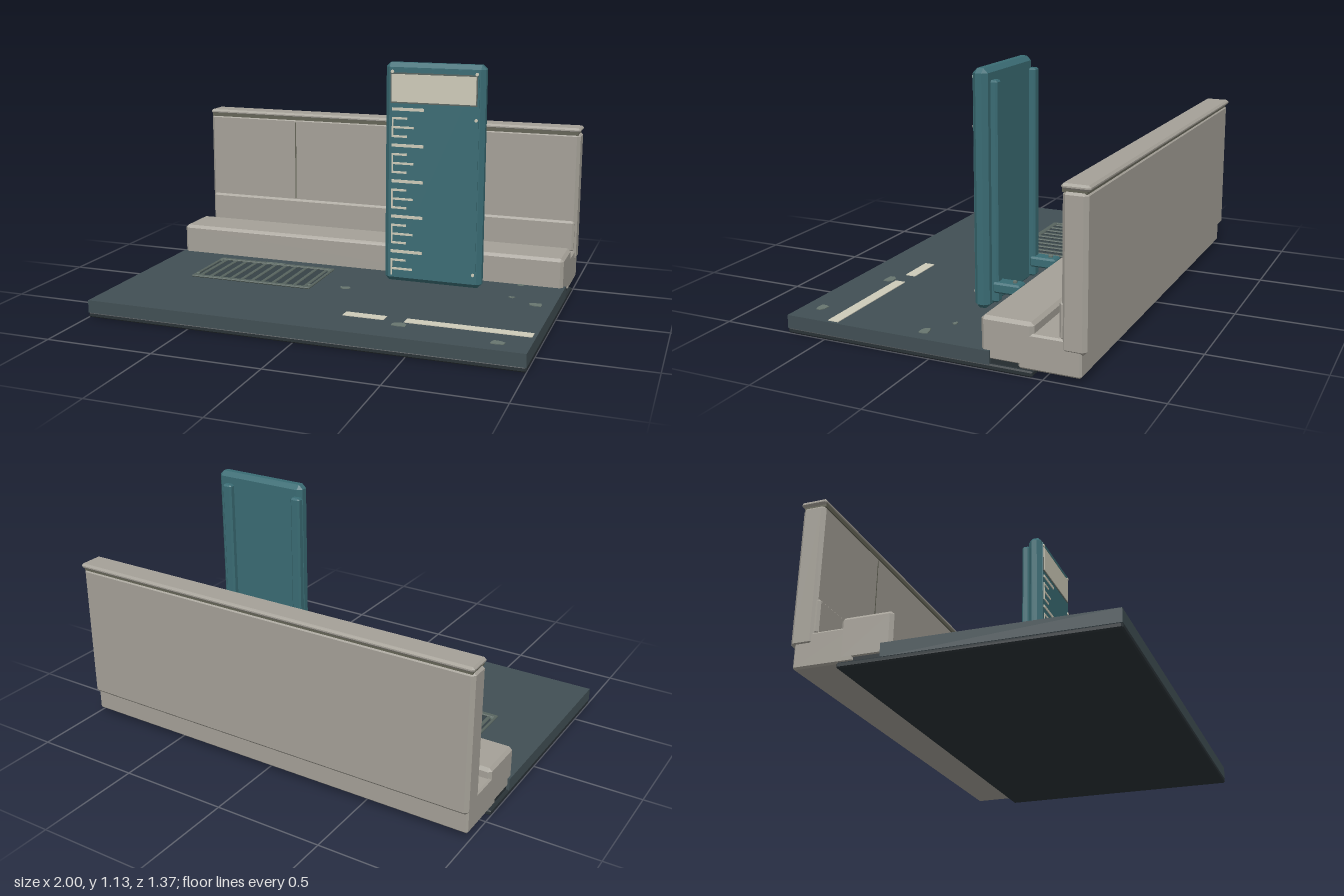
import * as THREE from 'three';
import { ConvexGeometry } from 'three/addons/geometries/ConvexGeometry.js';

const mat = (name, color) => {
  const m = new THREE.MeshStandardMaterial({ color });
  m.name = name;
  return m;
};

// Box between two corners; c > 0 chamfers all its edges
function blockGeometry(x0, x1, y0, y1, z0, z1, c = 0) {
  const s = [x1 - x0, y1 - y0, z1 - z0];
  let geo;
  if (c > 0) {
    const pts = [];
    for (const i of [-1, 1]) for (const j of [-1, 1]) for (const k of [-1, 1]) {
      for (let face = 0; face < 3; face++) {
        const p = [i, j, k].map((d, a) => d * (s[a] / 2 - (a === face ? 0 : c)));
        pts.push(new THREE.Vector3(...p));
      }
    }
    geo = new ConvexGeometry(pts);
  } else {
    geo = new THREE.BoxGeometry(...s);
  }
  return geo.translate((x0 + x1) / 2, (y0 + y1) / 2, (z0 + z1) / 2);
}

export function createModel() {
  const root = new THREE.Group();
  const concrete = mat('concrete', 0xa5a198);
  const asphalt = mat('asphalt', 0x414f54);
  const underside = mat('underside', 0x2a3236);
  const teal = mat('teal', 0x3a6c74);
  const cream = mat('cream', 0xcecbb9);
  const iron = mat('iron', 0x58645f);
  const patch = mat('patch', 0x68766f);
  const pit = mat('pit', 0x364246);
  const shadowTrim = mat('shadowTrim', 0x646456);

  const group = (name) => {
    const g = new THREE.Group();
    g.name = name;
    root.add(g);
    return g;
  };
  const add = (parent, name, material, geo) => {
    const m = new THREE.Mesh(geo, material);
    m.name = name;
    parent.add(m);
    return m;
  };
  const block = (parent, name, material, ...dims) => add(parent, name, material, blockGeometry(...dims));

  // Ground
  const ground = group('ground');
  block(ground, 'basePlate', underside, -1, 1, 0, 0.025, -0.455, 0.685, 0.006);
  block(ground, 'pavement', asphalt, -1, 1, 0.022, 0.08, -0.27, 0.685);
  block(ground, 'curbBedding', underside, -0.985, 0.985, 0.025, 0.05, -0.39, -0.26);
  for (const [x0, x1] of [[0.157, 0.345], [0.435, 0.985]]) {
    block(ground, 'paintStripe', cream, x0, x1, 0.08, 0.083, 0.44, 0.49);
  }

  // Worn patches: flat irregular polygons
  const patches = [[0.03, 0.11, 0.03], [0.92, 0.06, 0.036], [0.425, 0.525, 0.04],
    [0.865, 0.6, 0.036], [0.795, -0.215, 0.02], [0.795, -0.013, 0.017]];
  patches.forEach(([x, z, r], n) => {
    const shape = new THREE.Shape();
    for (let i = 0; i < 7; i++) {
      const a = (i / 7) * Math.PI * 2 + n;
      const q = r * (0.88 + 0.14 * Math.sin(i * 2.6 + n * 1.7));
      const px = Math.cos(a) * q, py = Math.sin(a) * q * 0.7;
      if (i) shape.lineTo(px, py); else shape.moveTo(px, py);
    }
    const geo = new THREE.ExtrudeGeometry(shape, { depth: 0.003, bevelEnabled: false });
    add(ground, 'wornPatch', patch, geo.rotateX(-Math.PI / 2).translate(x, 0.08, z));
  });

  // Drain grate
  const grate = group('drainGrate');
  block(grate, 'drainPit', pit, -0.73, -0.125, 0.08, 0.082, -0.14, 0.185);
  for (const [z0, z1] of [[-0.147, -0.122], [0.165, 0.19]]) {
    block(grate, 'grateEndBar', iron, -0.735, -0.12, 0.08, 0.089, z0, z1, 0.003);
  }
  for (const x of [-0.735, -0.134]) {
    block(grate, 'grateSideBar', iron, x, x + 0.014, 0.08, 0.089, -0.14, 0.185, 0.003);
  }
  for (let i = 0; i < 11; i++) {
    const x = -0.7 + i * 0.0545;
    block(grate, 'grateSlat', iron, x - 0.009, x + 0.009, 0.08, 0.087, -0.125, 0.168, 0.003);
  }
  for (const x of [-0.72, -0.135]) for (const z of [-0.108, 0.152]) {
    add(grate, 'grateBolt', patch, new THREE.CylinderGeometry(0.009, 0.009, 0.012, 8).translate(x, 0.085, z));
  }
  block(grate, 'grateTab', patch, -0.48, -0.38, 0.085, 0.092, -0.138, -0.125);

  // Curb with a sill behind it
  const wall = group('wall');
  block(wall, 'curb', concrete, -0.99, 0.99, 0.035, 0.22, -0.455, -0.228, 0.014);
  block(wall, 'sill', concrete, -0.99, 0.99, 0.025, 0.175, -0.655, -0.39, 0.008);
  block(wall, 'skirting', concrete, -0.985, 0.985, 0.17, 0.325, -0.6, -0.558, 0.01);
  block(wall, 'wallPanel', concrete, -0.995, 0.995, 0.12, 0.762, -0.675, -0.57, 0.016);
  block(wall, 'capNeck', shadowTrim, -0.985, 0.985, 0.752, 0.77, -0.67, -0.569);
  block(wall, 'wallCap', concrete, -0.995, 0.995, 0.764, 0.788, -0.685, -0.566, 0.009);
  for (const x of [-0.5, 0.5]) {
    block(wall, 'wallJoint', shadowTrim, x - 0.003, x + 0.003, 0.33, 0.74, -0.572, -0.569);
  }

  // Gauge board
  const gauge = group('gaugeBoard');
  block(gauge, 'board', teal, 0.178, 0.645, 0.098, 1.132, -0.09, -0.022, 0.02);
  block(gauge, 'facePanel', teal, 0.203, 0.62, 0.12, 1.108, -0.024, -0.018);
  block(gauge, 'headerFrame', iron, 0.205, 0.613, 0.947, 1.088, -0.019, -0.016);
  block(gauge, 'headerPlate', cream, 0.211, 0.607, 0.954, 1.081, -0.018, -0.013);

  // Scale marks: long every fourth, medium every second
  const step = 0.0421;
  for (let i = 0; i < 19; i++) {
    const y = 0.92 - i * step;
    const len = i % 4 === 0 ? 0.152 : i % 2 === 0 ? 0.105 : 0.073;
    const h = i % 4 === 0 ? 0.007 : 0.005;
    block(gauge, 'scaleMark', cream, 0.213, 0.213 + len, y - h, y + h, -0.019, -0.014);
    if (i % 4 === 1) {
      block(gauge, 'scaleSpine', cream, 0.213, 0.22, Math.max(y - 2 * step, 0.13), y, -0.019, -0.0145);
    }
  }
  for (const x of [0.214, 0.609]) for (const y of [0.165, 0.885, 1.092]) {
    if (x < 0.3 && y < 1) continue;
    add(gauge, 'faceBolt', cream,
      new THREE.CylinderGeometry(0.008, 0.008, 0.008, 8).rotateX(Math.PI / 2).translate(x, y, -0.017));
  }

  // Rear rails and mounting brackets
  for (const x of [0.193, 0.578]) {
    block(gauge, 'rearRail', teal, x - 0.024, x + 0.024, 0.12, 1.08, -0.118, -0.08, 0.008);
    block(gauge, 'mountBracket', teal, x - 0.035, x + 0.035, 0.167, 0.215, -0.222, -0.095, 0.008);
    add(gauge, 'bracketBolt', patch, new THREE.CylinderGeometry(0.01, 0.01, 0.012, 8).translate(x, 0.217, -0.187));
  }
  return root;
}
